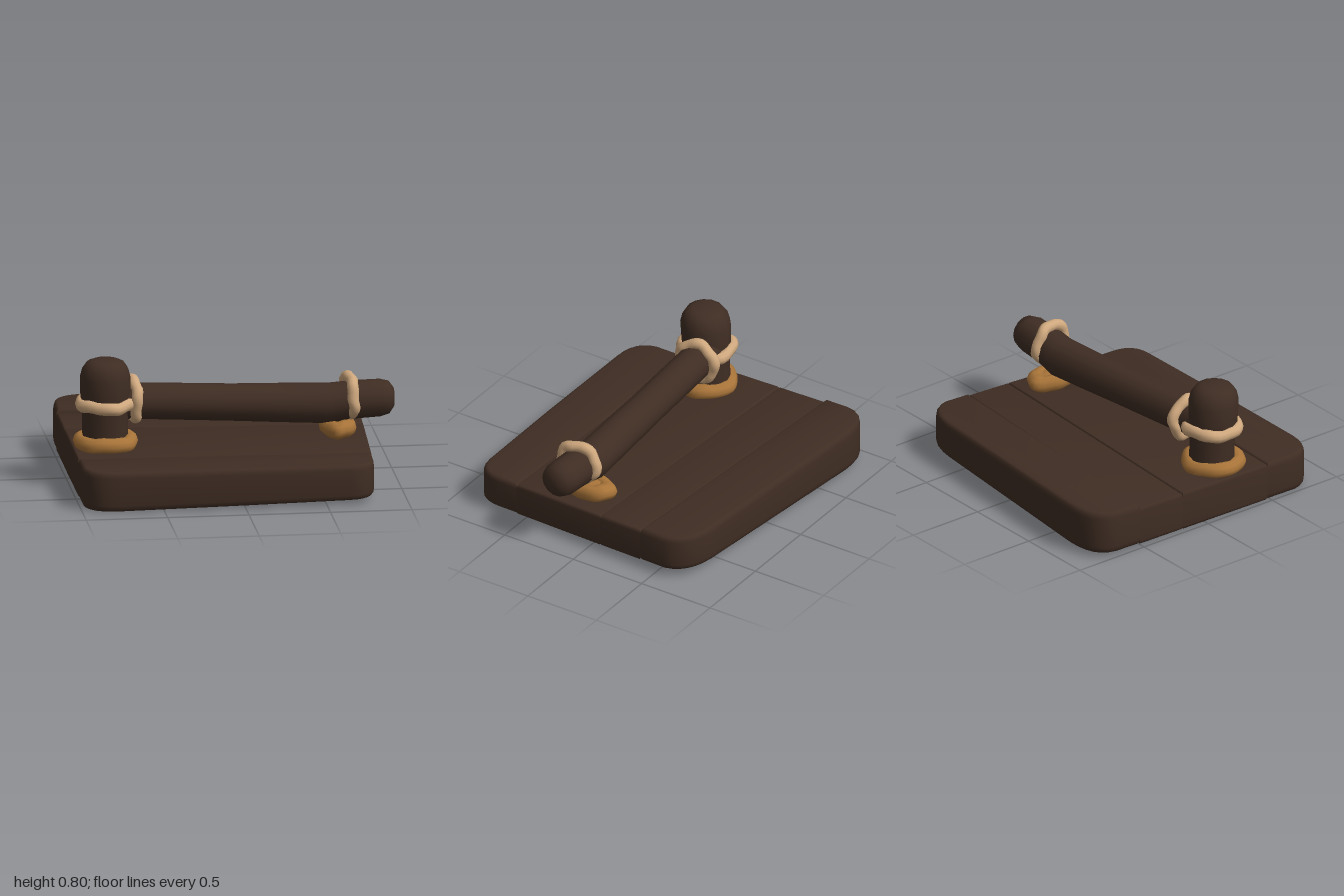
import * as THREE from 'three';
import { toCreasedNormals } from 'three/addons/utils/BufferGeometryUtils.js';

const material = (name, color) => {
  const m = new THREE.MeshStandardMaterial({ color });
  m.name = name;
  return m;
};

// Move every vertex by a rule, then rebuild the normals.
function reshape(geometry, rule, crease = 0.8) {
  const p = geometry.attributes.position;
  const v = new THREE.Vector3();
  for (let i = 0; i < p.count; i++) {
    v.fromBufferAttribute(p, i);
    rule(v);
    p.setXYZ(i, v.x, v.y, v.z);
  }
  return toCreasedNormals(geometry, crease);
}

// Linear interpolation through [x, value] pairs.
function along(pairs, x) {
  for (let i = 1; i < pairs.length; i++) {
    const [x0, a] = pairs[i - 1], [x1, b] = pairs[i];
    if (x <= x1) return THREE.MathUtils.mapLinear(Math.max(x, x0), x0, x1, a, b);
  }
  return pairs[pairs.length - 1][1];
}

// Plank outline in x, z: two numbers draw a line, four draw a rounded corner.
function plankGeometry(outline, topY, bevel) {
  const shape = new THREE.Shape();
  outline.forEach((p, i) => {
    if (i === 0) shape.moveTo(p[0], -p[1]);
    else if (p.length === 2) shape.lineTo(p[0], -p[1]);
    else shape.quadraticCurveTo(p[0], -p[1], p[2], -p[3]);
  });
  const rise = bevel * 1.6, height = 0.25;
  const g = new THREE.ExtrudeGeometry(shape, {
    depth: height - 2 * rise, bevelThickness: rise, bevelSize: bevel,
    bevelOffset: -bevel, bevelSegments: 3, curveSegments: 6,
  });
  g.rotateX(-Math.PI / 2).translate(0, rise, 0);
  // The deck is slightly warped: thinner at its right end, higher at the back.
  return reshape(g, (v) => {
    const bottom = Math.max(0, 0.014 * (1 - v.z / 0.86) + 0.018 * (v.x + 1));
    v.y = bottom + (v.y / height) * (topY(v.x, v.z) - bottom);
  }, 0.65);
}

// Uneven ring lying around the y axis.
function ringGeometry(radius, tube, seed, wobble = 0.005) {
  const g = new THREE.TorusGeometry(radius, tube, 10, 32).rotateX(Math.PI / 2);
  return reshape(g, (v) => {
    const a = Math.atan2(v.z, v.x);
    const k = 1 + (wobble / radius) * Math.sin(a * 5 + seed);
    v.x *= k;
    v.z *= k;
    v.y += wobble * (Math.sin(a * 3 + seed) + 0.5 * Math.sin(a * 8 + seed * 2));
  }, 1.2);
}

export function createModel() {
  const model = new THREE.Group();
  model.name = 'plankDeckWithRail';
  const wood = material('dark wood', 0x3f2d23);
  const rope = material('pale rope', 0xcfa87e);
  const binding = material('tan binding', 0xa87439);

  const add = (name, geometry, mat, parent = model) => {
    const mesh = new THREE.Mesh(geometry, mat);
    mesh.name = name;
    parent.add(mesh);
    return mesh;
  };

  // Deck of four planks with slanted seams
  const deck = new THREE.Group();
  deck.name = 'deck';
  model.add(deck);
  const midTop = (x, z) => 0.261 - 0.022 * z;
  add('frontPlank', plankGeometry([
    [-0.985, 0.475], [0.81, 0.54], [0.805, 0.68], [0.8, 0.85, 0.64, 0.852],
    [0, 0.857], [-0.76, 0.852], [-0.96, 0.85, -0.985, 0.7],
  ], () => 0.252, 0.024), wood, deck);
  add('frontMiddlePlank', plankGeometry([
    [-0.99, -0.19], [0.84, -0.09], [0.81, 0.54], [-0.985, 0.475],
  ], midTop, 0.014), wood, deck);
  add('backMiddlePlank', plankGeometry([
    [-0.992, -0.53], [0.852, -0.39], [0.84, -0.09], [-0.99, -0.19],
  ], midTop, 0.016), wood, deck);
  add('backPlank', plankGeometry([
    [-0.992, -0.53], [-0.99, -0.7], [-0.975, -0.875, -0.72, -0.865],
    [0.6, -0.757], [0.83, -0.735, 0.86, -0.57], [0.852, -0.39],
  ], (x, z) => 0.292 - 0.008 * x - 0.02 * (z + 0.55), 0.024), wood, deck);

  // Upright post with a rounded head
  const postProfile = [[0, 0.2], [0.145, 0.2], [0.14, 0.42], [0.152, 0.56], [0.156, 0.69],
    [0.142, 0.745], [0.115, 0.785], [0.08, 0.8], [0, 0.8]];
  const post = new THREE.LatheGeometry(postProfile.map((p) => new THREE.Vector2(...p)), 14);
  add('post', reshape(post, (v) => {
    v.x -= 0.785;
    v.z += 0.195 + 0.04 * (v.y - 0.2);
  }), wood);

  // Sagging log rail with a blunt outer end
  const railProfile = [[0, -0.74], [0.11, -0.74], [0.112, -0.5], [0.114, 0], [0.12, 0.3],
    [0.124, 0.6], [0.118, 0.74], [0.115, 0.91], [0.1, 0.965], [0.06, 0.993], [0, 1]];
  const rail = new THREE.LatheGeometry(railProfile.map((p) => new THREE.Vector2(...p)), 14);
  rail.rotateZ(-Math.PI / 2);
  const railY = [[-0.74, 0.527], [-0.55, 0.52], [0, 0.489], [0.6, 0.46], [0.76, 0.482], [1, 0.49]];
  const railZ = [[-0.74, 0.17], [-0.55, 0.165], [0.6, 0.135], [0.76, 0.145], [1, 0.15]];
  add('rail', reshape(rail, (v) => {
    v.y += along(railY, v.x);
    v.z += along(railZ, v.x);
  }), wood);

  // Rope loops: one round the post, two round the rail
  const postRope = add('postRope', ringGeometry(0.153, 0.036, 1), rope);
  postRope.position.set(-0.785, 0.525, 0.205);
  postRope.scale.y = 1.1;
  [['innerRailRope', -0.605, 0.53, 0.155, 0.08, 2], ['outerRailRope', 0.722, 0.505, 0.145, 0.14, 4]]
    .forEach(([name, x, y, z, yaw, seed]) => {
      const loop = add(name, ringGeometry(0.117, 0.035, seed), rope);
      loop.position.set(x, y, z);
      loop.rotation.set(0, yaw, Math.PI / 2);
    });

  // Bindings that seat the post and the rail on the deck
  const postBinding = add('postBinding', ringGeometry(0.148, 0.05, 3, 0.004), binding);
  postBinding.position.set(-0.782, 0.285, 0.21);
  const railBinding = add('railBinding', ringGeometry(0.11, 0.06, 5, 0.004), binding);
  railBinding.position.set(0.655, 0.312, 0.11);
  railBinding.scale.set(0.66, 0.9, 1.08);
  const railPad = add('railPad', new THREE.SphereGeometry(1, 20, 12), binding);
  railPad.position.set(0.655, 0.305, 0.11);
  railPad.scale.set(0.09, 0.05, 0.15);

  return model;
}
